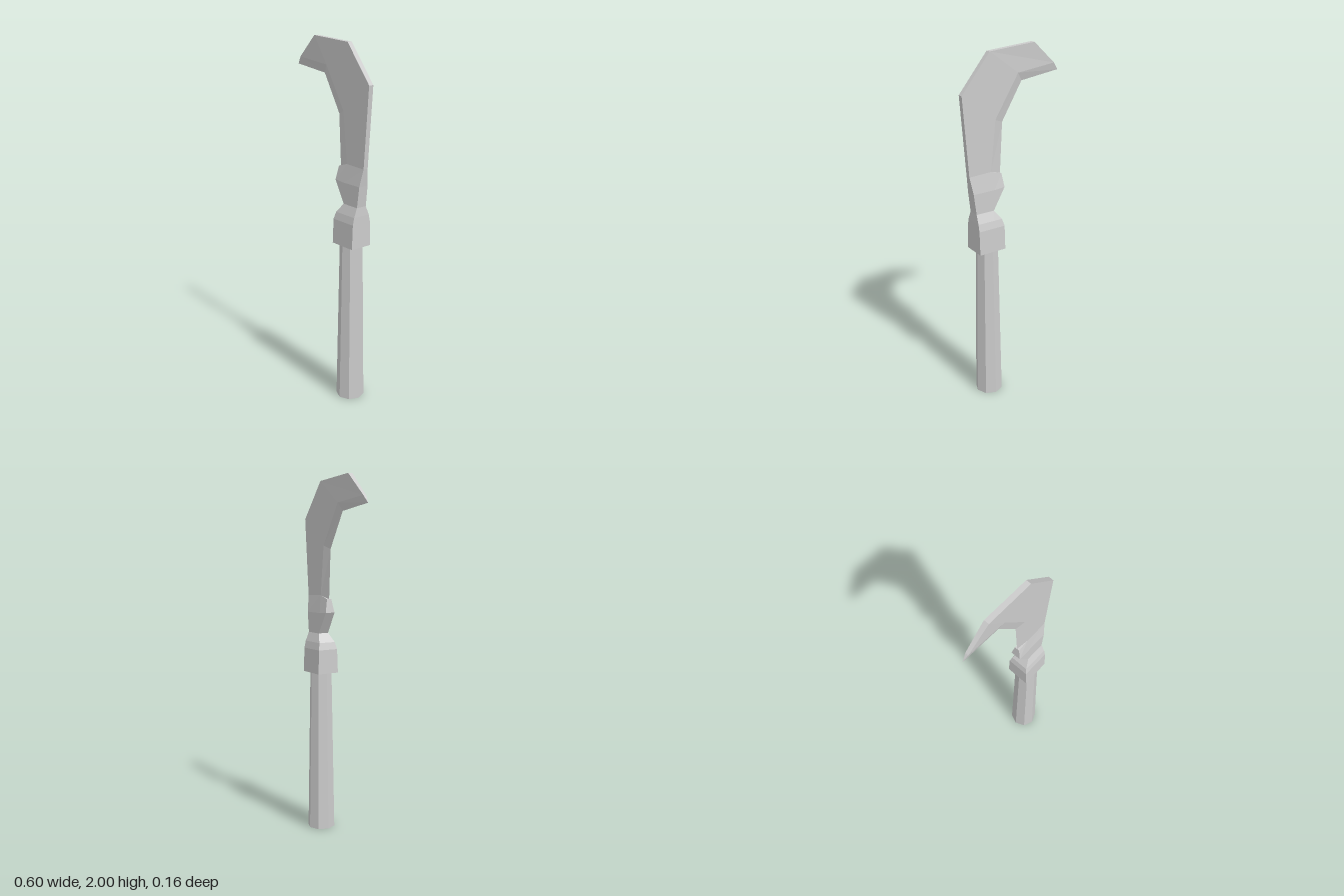
import * as THREE from 'three';

const material = new THREE.MeshStandardMaterial({ color: 0xcccccc, flatShading: true });

// Skin a list of equal-length rings, ordered counter-clockwise seen from the far end, and cap both ends.
function loft(name, rings) {
  const n = rings[0].length;
  const index = [];
  for (let r = 0; r < rings.length - 1; r++) {
    for (let i = 0; i < n; i++) {
      const j = (i + 1) % n;
      const a = r * n + i, b = r * n + j, c = b + n, d = a + n;
      index.push(a, b, c, a, c, d);
    }
  }
  const last = (rings.length - 1) * n;
  for (let k = 1; k < n - 1; k++) {
    const p = (1 + k) % n, q = (2 + k) % n;
    index.push(1, q, p, last + 1, last + p, last + q);
  }
  const indexed = new THREE.BufferGeometry();
  indexed.setAttribute('position', new THREE.Float32BufferAttribute(rings.flat(2), 3));
  indexed.setIndex(index);
  const geometry = indexed.toNonIndexed();
  geometry.computeVertexNormals();
  const mesh = new THREE.Mesh(geometry, material);
  mesh.name = name;
  return mesh;
}

export function createModel() {
  const group = new THREE.Group();
  group.name = 'billhook';

  // Tapered octagonal grip
  const handle = new THREE.Mesh(new THREE.CylinderGeometry(0.062, 0.078, 0.915, 8), material);
  handle.name = 'handle';
  handle.position.set(0.153, 0.4575, 0);
  group.add(handle);

  // Collar and neck: left x, right x, half depth, then heights at left, middle and right
  const collar = [
    [0.075, 0.235, 0.065, 0.915, 0.915, 0.915],
    [0.076, 0.235, 0.06, 1.05, 1.05, 1.05],
    [0.087, 0.235, 0.051, 1.09, 1.09, 1.09],
    [0.125, 0.233, 0.031, 1.14, 1.14, 1.14],
    [0.055, 0.247, 0.029, 1.26, 1.255, 1.255],
    [0.065, 0.262, 0.014, 1.335, 1.355, 1.35],
  ].map(([l, r, d, yl, ym, yr]) => {
    const m = l + (r - l) * 0.33;
    return [[l, yl, d], [m, ym, d], [r, yr, d], [r, yr, -d], [m, ym, -d], [l, yl, -d]];
  });
  group.add(loft('collar', collar));

  // Hooked blade: cutting edge, bevel line (with half depth) and spine at each station
  const t = 0.014;
  const blade = [
    [[0.065, 1.335], [0.13, 1.355], t, [0.262, 1.35]],
    [[0.05, 1.61], [0.1, 1.63], t, [0.295, 1.78]],
    [[-0.07, 1.81], [-0.04, 1.855], t, [0.13, 1.98]],
    [[-0.3, 1.84], [-0.27, 1.88], 0.009, [-0.14, 2]],
  ].map(([e, b, d, s]) => [[...e, 0], [...b, d], [...s, t], [...s, -t], [...b, -d]]);
  group.add(loft('blade', blade));

  return group;
}
